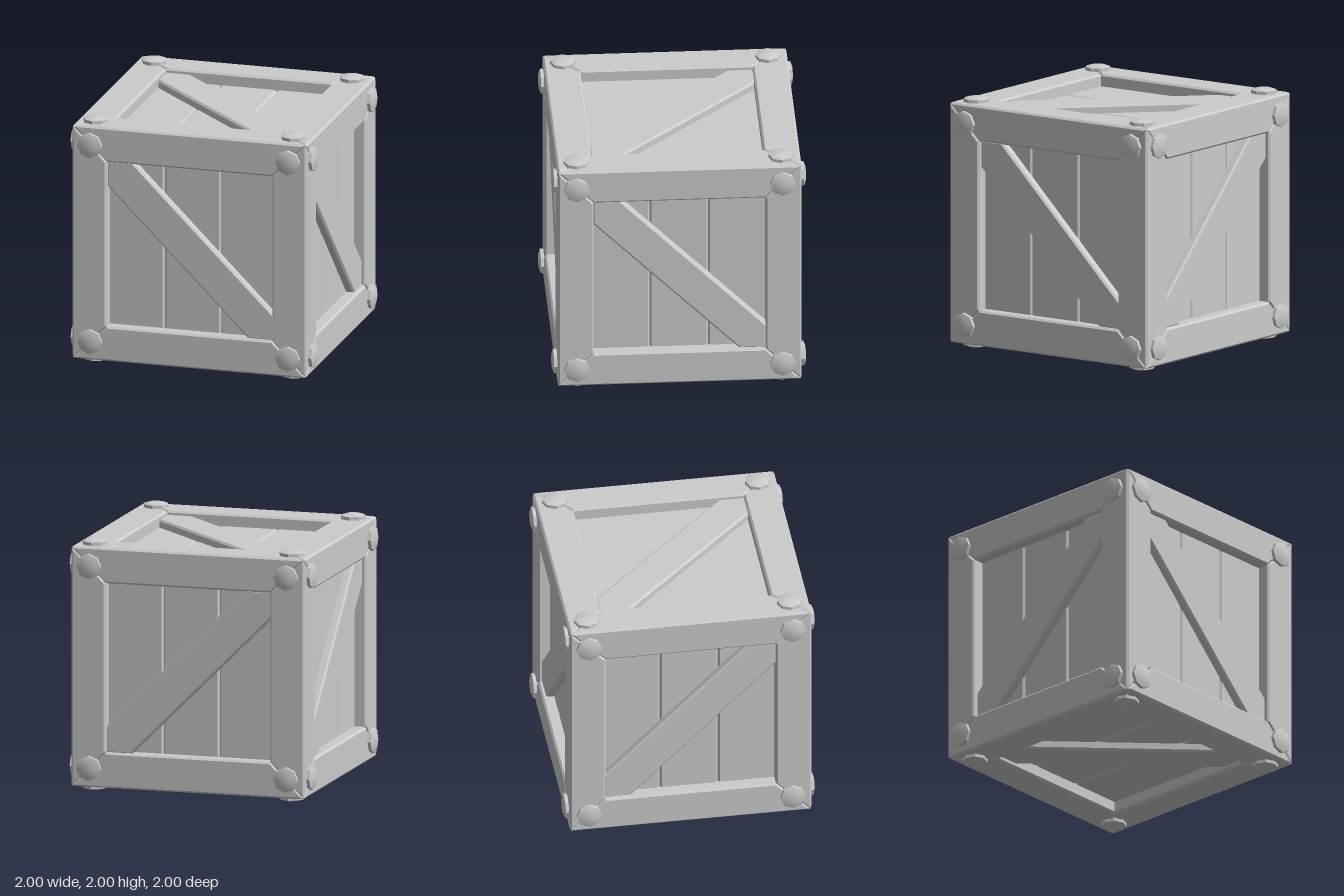
import * as THREE from 'three';
import { toCreasedNormals } from 'three/addons/utils/BufferGeometryUtils.js';

const OUT = 0.957;    // half size of the crate body
const INNER = 0.675;  // half size of the frame opening
const PANEL = 0.86;   // height of the recessed planks
const BEV = 0.015;    // edge chamfer

const flat = new THREE.MeshStandardMaterial({ color: 0xcccccc, flatShading: true });
const smooth = new THREE.MeshStandardMaterial({ color: 0xcccccc });

function add(parent, name, geometry, material = flat) {
  const mesh = new THREE.Mesh(geometry, material);
  mesh.name = name;
  parent.add(mesh);
  return mesh;
}

// Chamfered board from an outline, lying between z0 and z1
function board(points, z0, z1) {
  const shape = new THREE.Shape(points.map(([x, y]) => new THREE.Vector2(x, y)));
  const geo = new THREE.ExtrudeGeometry(shape, {
    depth: z1 - z0 - 2 * BEV, bevelThickness: BEV, bevelSize: BEV,
    bevelOffset: -BEV, bevelSegments: 1,
  });
  return geo.translate(0, 0, z0 + BEV);
}

// Top beam of a frame: cross-section of [y, z, half length], mitred at both ends
function beamGeometry() {
  const edge = OUT - BEV / 2, groove = 0.018;
  const section = [
    [INNER, PANEL - 0.02, INNER],
    [INNER, OUT - BEV, INNER],
    [INNER + BEV, OUT, INNER + BEV - groove],
    [OUT - BEV, OUT, OUT - BEV - groove],
    [edge, edge, edge],
  ];
  const pos = [];
  const quad = (a, b, c, d) => [a, b, c, a, c, d].forEach((p) => pos.push(...p));
  const at = (i, s) => [s * section[i][2], section[i][0], section[i][1]];
  for (let i = 0; i < 4; i++) quad(at(i, -1), at(i, 1), at(i + 1, 1), at(i + 1, -1));
  quad(at(1, 1), at(4, 1), at(3, 1), at(2, 1));
  quad(at(1, -1), at(2, -1), at(3, -1), at(4, -1));
  const geo = new THREE.BufferGeometry();
  geo.setAttribute('position', new THREE.Float32BufferAttribute(pos, 3));
  geo.computeVertexNormals();
  return geo;
}

// Low octagonal bolt head pointing along +z
function boltGeometry() {
  const profile = [[0.1, -0.01], [0.1, 0.026], [0.06, 0.039], [0, 0.043]]
    .map(([r, y]) => new THREE.Vector2(r, y));
  return toCreasedNormals(new THREE.LatheGeometry(profile, 8).rotateX(Math.PI / 2), 0.7);
}

// One crate side facing +z; slope picks the direction of the brace
function createSide(name, slope, beam, bolt) {
  const side = new THREE.Group();
  side.name = name;

  // three upright planks
  const cuts = [-0.74, -0.23, 0.23, 0.74];
  for (let i = 0; i < 3; i++) {
    const [a, b] = [cuts[i], cuts[i + 1]];
    add(side, 'plank', board([[a, -0.74], [b, -0.74], [b, 0.74], [a, 0.74]], PANEL - 0.06, PANEL));
  }

  // diagonal brace, its ends cut to fit the frame corners
  const e = INNER + 0.008, w = 0.21;
  const outline = [[-e, e], [-e, e - w], [e - w, -e], [e, -e], [e, w - e], [w - e, e]];
  add(side, 'brace', board(outline.map(([x, y]) => [x * slope, y]), PANEL - 0.02, 0.925));

  // frame beams and corner bolts
  for (let i = 0; i < 4; i++) {
    add(side, 'frameBeam', beam).rotation.z = i * Math.PI / 2;
    const sx = i % 2 ? 1 : -1, sy = i < 2 ? 1 : -1;
    add(side, 'bolt', bolt, smooth).position.set(sx * 0.808, sy * 0.805, OUT);
  }
  return side;
}

export function createModel() {
  const crate = new THREE.Group();
  crate.name = 'crate';
  const beam = beamGeometry(), bolt = boltGeometry(), q = Math.PI / 2;

  // name, brace slope, rotation about x, rotation about y
  const sides = [
    ['frontSide', 1, 0, 0],
    ['backSide', -1, 0, 2 * q],
    ['leftSide', 1, 0, q],
    ['rightSide', -1, 0, -q],
    ['topSide', 1, -q, 0],
    ['bottomSide', -1, q, 0],
  ];
  for (const [name, slope, rx, ry] of sides) {
    const side = createSide(name, slope, beam, bolt);
    side.rotation.set(rx, ry, 0);
    side.position.y = 1;
    crate.add(side);
  }
  return crate;
}
